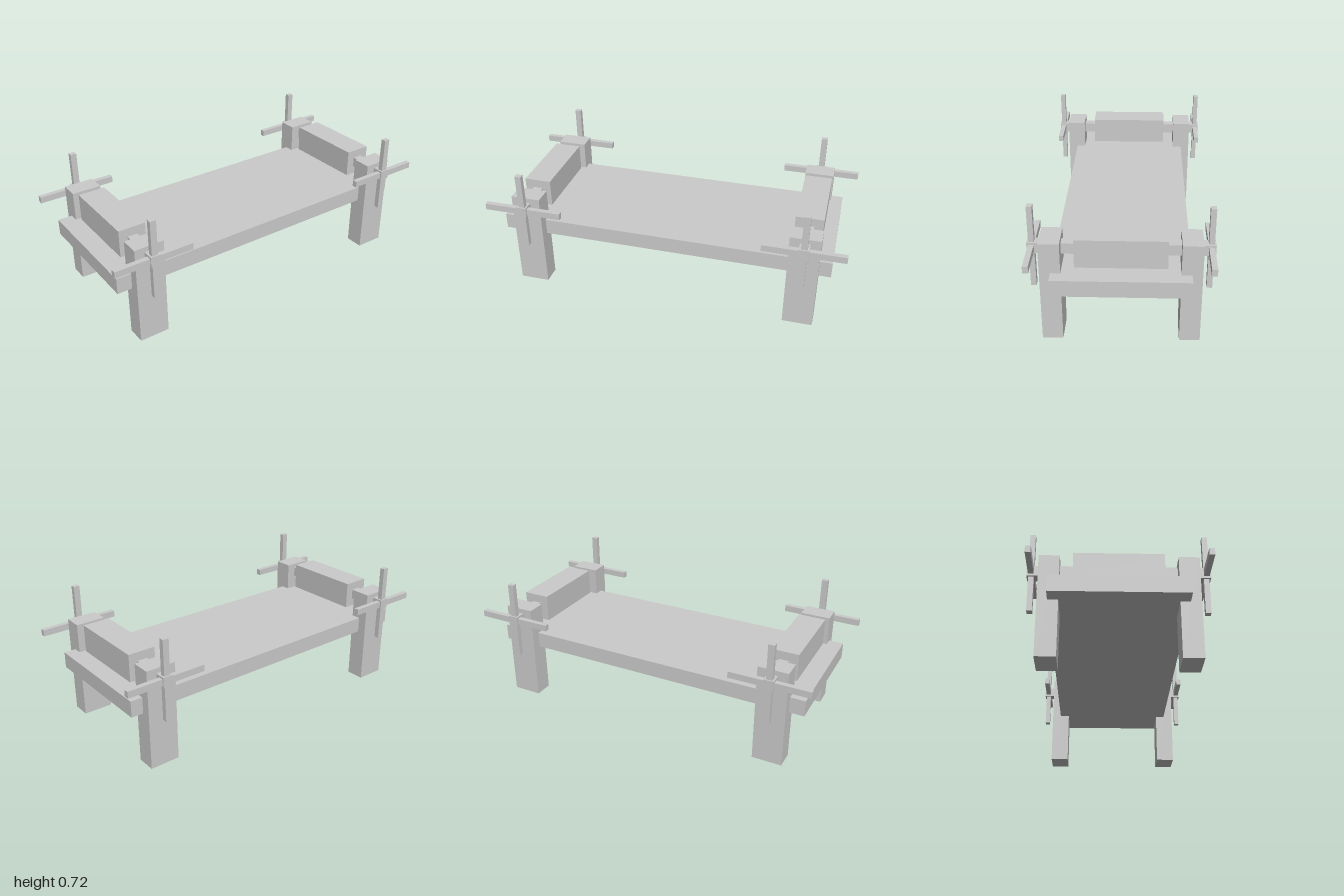
import * as THREE from 'three';

const material = new THREE.MeshStandardMaterial({ color: 0xcccccc, flatShading: true });

function box(parent, name, [w, h, d], [x, y, z]) {
  const mesh = new THREE.Mesh(new THREE.BoxGeometry(w, h, d), material);
  mesh.name = name;
  mesh.position.set(x, y, z);
  parent.add(mesh);
  return mesh;
}

// One end of the rack: two posts, a square roller on an axle, and a cross handle at each side
function createRollerEnd(name, x) {
  const end = new THREE.Group();
  end.name = name;
  end.position.x = x;
  const axleY = 0.499;

  box(end, 'axle', [0.055, 0.057, 0.922], [0, axleY, 0]);
  box(end, 'roller', [0.152, 0.153, 0.457], [0, axleY, -0.001]);

  for (const side of [1, -1]) {
    const label = side > 0 ? 'front' : 'back';
    box(end, label + 'Leg', [0.165, 0.555, 0.105], [0, 0.2775, side * 0.347]);

    const handle = new THREE.Group();
    handle.name = label + 'Handle';
    handle.position.set(0, axleY, side * 0.439);
    box(handle, 'horizontalSpoke', [0.441, 0.036, 0.028], [0, 0, 0]);
    box(handle, 'verticalSpoke', [0.034, 0.444, 0.028], [0, 0, 0]);
    end.add(handle);
  }
  return end;
}

export function createModel() {
  const model = new THREE.Group();
  model.name = 'rollerRack';

  // Bed board between the posts
  box(model, 'bed', [1.87, 0.09, 0.693], [-0.01, 0.347, -0.0015]);

  model.add(createRollerEnd('rightEnd', -0.78));
  model.add(createRollerEnd('leftEnd', 0.776));
  return model;
}
